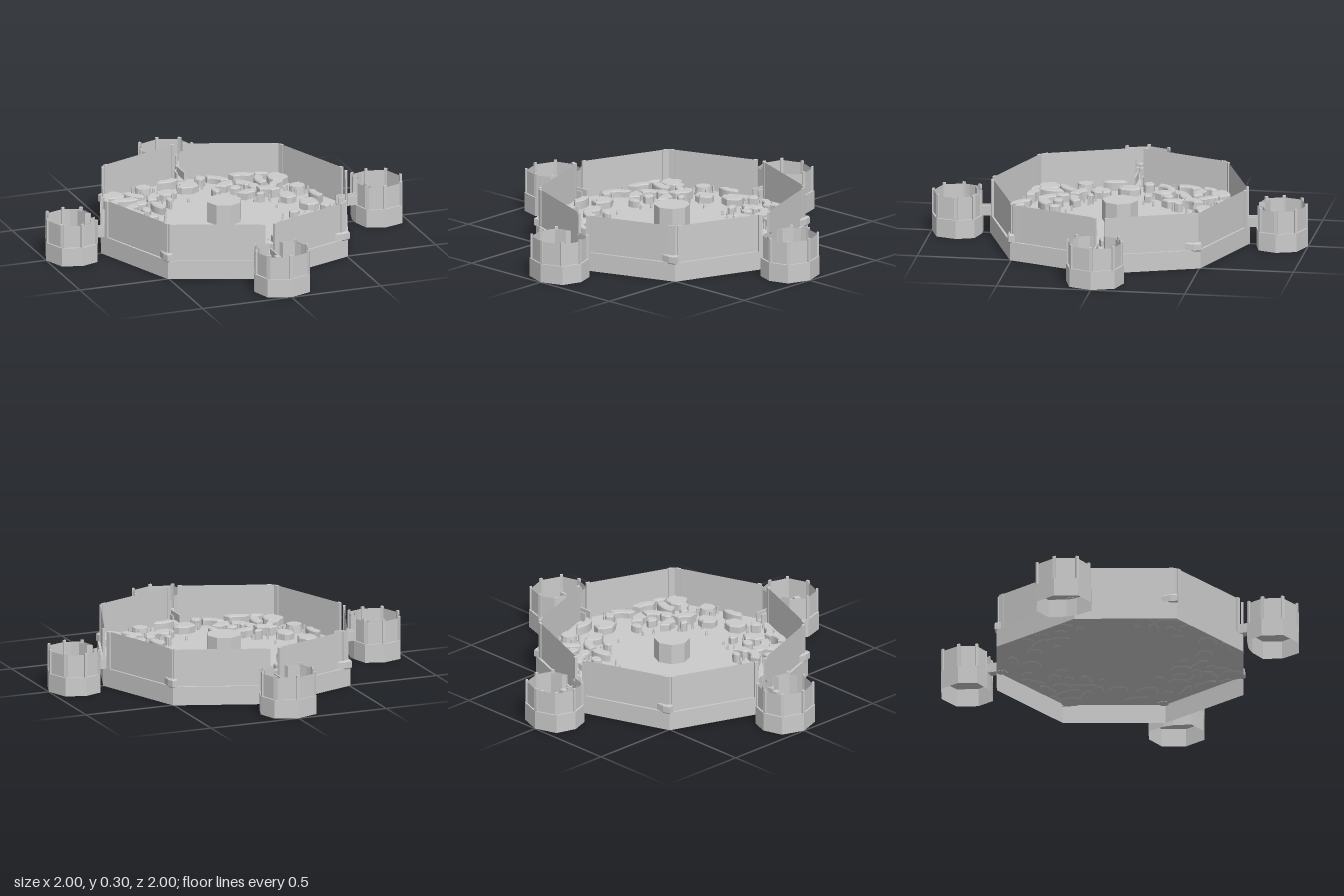
import * as THREE from 'three';

const mat = new THREE.MeshStandardMaterial({ color: 0xcccccc, flatShading: true, side: THREE.DoubleSide });
const FLOOR = 0.1;

let seed = 7;
const rnd = () => (seed = (seed * 16807) % 2147483647) / 2147483647;

function add(parent, name, geo, x = 0, y = 0, z = 0, ry = 0) {
  const m = new THREE.Mesh(geo, mat);
  m.name = name;
  m.position.set(x, y, z);
  m.rotation.y = ry;
  parent.add(m);
  return m;
}

// Upright thin wall following [x, z] points
function ribbon(pts, y0, y1, closed) {
  const pos = [], n = pts.length;
  for (let i = 0; i < (closed ? n : n - 1); i++) {
    const [ax, az] = pts[i], [bx, bz] = pts[(i + 1) % n];
    pos.push(ax, y0, az, bx, y0, bz, bx, y1, bz, ax, y0, az, bx, y1, bz, ax, y1, az);
  }
  const g = new THREE.BufferGeometry();
  g.setAttribute('position', new THREE.Float32BufferAttribute(pos, 3));
  g.computeVertexNormals();
  return g;
}

// Flat polygon through [x, z] points, facing up
function plate(pts) {
  const s = new THREE.Shape(pts.map(([x, z]) => new THREE.Vector2(x, -z)));
  return new THREE.ShapeGeometry(s).rotateX(-Math.PI / 2);
}

const slab = (shape, h) => new THREE.ExtrudeGeometry(shape, {
  depth: h - 0.006, bevelEnabled: true, bevelSize: 0.005, bevelOffset: -0.005,
  bevelThickness: 0.006, bevelSegments: 1, curveSegments: 4,
}).rotateX(-Math.PI / 2);

// Irregular rounded boulder outline
function blob(rx, rz) {
  const pts = [];
  for (let i = 0; i < 8; i++) {
    const a = (i + 0.5 * rnd()) / 8 * Math.PI * 2, k = 0.85 + 0.25 * rnd();
    pts.push(new THREE.Vector2(Math.cos(a) * rx * k, Math.sin(a) * rz * k));
  }
  return new THREE.Shape(pts);
}

// Bent wall fragment: a tapering arc band of given length and width
function band(len, w) {
  const r = len * 0.9, s = new THREE.Shape(), a = 0.56;
  s.absarc(0, -r, r + w / 2, Math.PI / 2 - a, Math.PI / 2 + a, false);
  s.absarc(0, -r, r - w / 2, Math.PI / 2 + a * 0.9, Math.PI / 2 - a * 0.75, true);
  return s;
}

// [x, z, length, width, turn] for one quarter of the arena
const bands = [
  [0.17, -0.55, 0.12, 0.04, -0.8], [0.29, -0.51, 0.12, 0.045, -0.3], [0.17, -0.43, 0.1, 0.06, 0.4],
  [0.27, -0.42, 0.1, 0.05, -0.9], [0.355, -0.42, 0.12, 0.05, 1.4], [0.42, -0.35, 0.12, 0.04, 0.7],
  [0.24, -0.28, 0.1, 0.05, 0.2], [0.35, -0.27, 0.11, 0.05, -0.6], [0.55, -0.11, 0.11, 0.04, 1.7],
  [0.4, -0.51, 0.07, 0.03, -0.4],
];
const blobs = [
  [0.07, -0.545, 0.03, 0.03, 0], [0.47, -0.45, 0.07, 0.055, 0.8], [0.2, -0.36, 0.032, 0.03, 0],
  [0.3, -0.35, 0.03, 0.035, 0.4], [0.415, -0.16, 0.05, 0.055, 0], [0.09, -0.36, 0.022, 0.03, 0.3],
  [-0.02, -0.485, 0.062, 0.048, 0], [0.28, -0.2, 0.025, 0.018, 0.5],
];

function rockQuarter() {
  const g = new THREE.Group();
  g.name = 'rockField';
  for (const [x, z, l, w, t] of bands) add(g, 'ruinWall', slab(band(l, w), 0.035 + 0.02 * rnd()), x, FLOOR, z, t);
  for (const [x, z, a, b, t] of blobs) add(g, 'boulder', slab(blob(a, b), 0.035 + 0.02 * rnd()), x, FLOOR, z, t);
  // Round plinth with four little pegs
  add(g, 'plinth', new THREE.CylinderGeometry(0.04, 0.046, 0.045, 12), 0.51, FLOOR + 0.0225, -0.26);
  for (let i = 0; i < 4; i++) {
    const a = i * Math.PI / 2 + 0.5;
    add(g, 'peg', new THREE.CylinderGeometry(0.006, 0.008, 0.04, 5), 0.51 + 0.056 * Math.cos(a), FLOOR + 0.02, -0.26 + 0.056 * Math.sin(a));
  }
  // Scattered small stones
  for (let i = 0; i < 24; i++) {
    const a = 0.12 + rnd() * 1.33, r = 0.3 + 0.31 * rnd(), h = 0.02 + 0.03 * rnd();
    add(g, 'smallStone', new THREE.CylinderGeometry(0.004, 0.008, h, 5), r * Math.cos(a), FLOOR + h / 2, -r * Math.sin(a));
  }
  return g;
}

// Side room on the -z side, reached by a short bridge
function pod() {
  const g = new THREE.Group();
  g.name = 'sideRoom';
  const half = [[0.03, -0.73], [0.12, -0.755], [0.153, -0.85], [0.12, -0.957]];
  const mirror = half.map(([x, z]) => [-x, z]).reverse();
  const ring = [...half, [0, -1], ...mirror];
  const inset = ring.map(([x, z]) => [x * 0.93, -0.86 + (z + 0.86) * 0.94]);
  add(g, 'roomSkirt', ribbon(ring, 0, FLOOR, true));
  add(g, 'roomFloor', plate(ring), 0, FLOOR, 0);
  add(g, 'roomWall', ribbon(inset, FLOOR, 0.22, false));
  // Corner ribs
  inset.slice(1, -1).forEach(([x, z]) => add(g, 'cornerRib', new THREE.BoxGeometry(0.016, 0.13, 0.012), x, FLOOR + 0.065, z, Math.atan2(x, z + 0.86)));
  // Inner wings beside the entrance
  for (const s of [-1, 1])
    add(g, 'entranceWing', ribbon([[0.122, -0.82], [0.1, -0.785], [0.04, -0.765], [0.03, -0.735]].map(([x, z]) => [s * x, z]), FLOOR, 0.22, false));
  // Furniture: [x, z, width, height, depth, turn]
  for (const [x, z, w, h, d, t] of [
    [-0.037, -0.947, 0.03, 0.035, 0.035, -0.4], [-0.05, -0.895, 0.028, 0.03, 0.025, 0],
    [0.065, -0.89, 0.012, 0.06, 0.035, 0], [0, -0.79, 0.03, 0.06, 0.03, 0],
    [-0.06, -0.83, 0.015, 0.02, 0.01, 0.3], [0.05, -0.83, 0.012, 0.02, 0.016, 0],
    [0.03, -0.95, 0.012, 0.02, 0.012, 0.5],
  ]) add(g, 'furniture', new THREE.BoxGeometry(w, h, d), x, FLOOR + h / 2, z, t);
  // Bridge with side rails
  add(g, 'bridgeDeck', new THREE.BoxGeometry(0.046, 0.01, 0.11), 0, FLOOR + 0.003, -0.69);
  for (const s of [-1, 1])
    add(g, 'bridgeRail', new THREE.BoxGeometry(0.008, 0.05, 0.11), s * 0.02, FLOOR + 0.025, -0.69);
  return g;
}

// One corner of the arena wall, from gate to gate around (+x, -z)
function wallQuarter() {
  const g = new THREE.Group();
  g.name = 'arenaWall';
  const c = 0.495, e = 0.672;
  add(g, 'wallPanel', ribbon([[0.022, -e], [c, -c], [e, -0.022]], FLOOR - 0.01, 0.3, false));
  for (const [x, z, t] of [[c + 0.008, -c + 0.022, -1.2], [c - 0.022, -c - 0.008, -0.37]])
    add(g, 'cornerPilaster', new THREE.BoxGeometry(0.025, 0.2, 0.012), x, 0.2, z, t);
  for (const [x, z, t] of [[0.034, -e, -0.37], [e, -0.034, -1.2]])
    add(g, 'gatePost', new THREE.BoxGeometry(0.022, 0.2, 0.014), x, 0.2, z, t);
  return g;
}

export function createModel() {
  const model = new THREE.Group();
  model.name = 'arena';

  // Hollow octagonal base
  const oct = [];
  for (let i = 0; i < 8; i++) {
    const a = i * Math.PI / 4, r = i % 2 ? 0.715 : 0.69;
    oct.push([r * Math.cos(a), -r * Math.sin(a)]);
  }
  add(model, 'baseSkirt', ribbon(oct, 0, FLOOR, true));
  add(model, 'arenaFloor', plate(oct), 0, FLOOR, 0);
  add(model, 'centrePlatform', new THREE.CylinderGeometry(0.095, 0.095, 0.11, 8), 0, FLOOR + 0.055, 0);

  // Four identical quarters
  for (let i = 0; i < 4; i++) {
    seed = 7;
    for (const part of [rockQuarter(), wallQuarter(), pod()]) {
      part.rotation.y = i * Math.PI / 2;
      model.add(part);
    }
  }
  return model;
}
